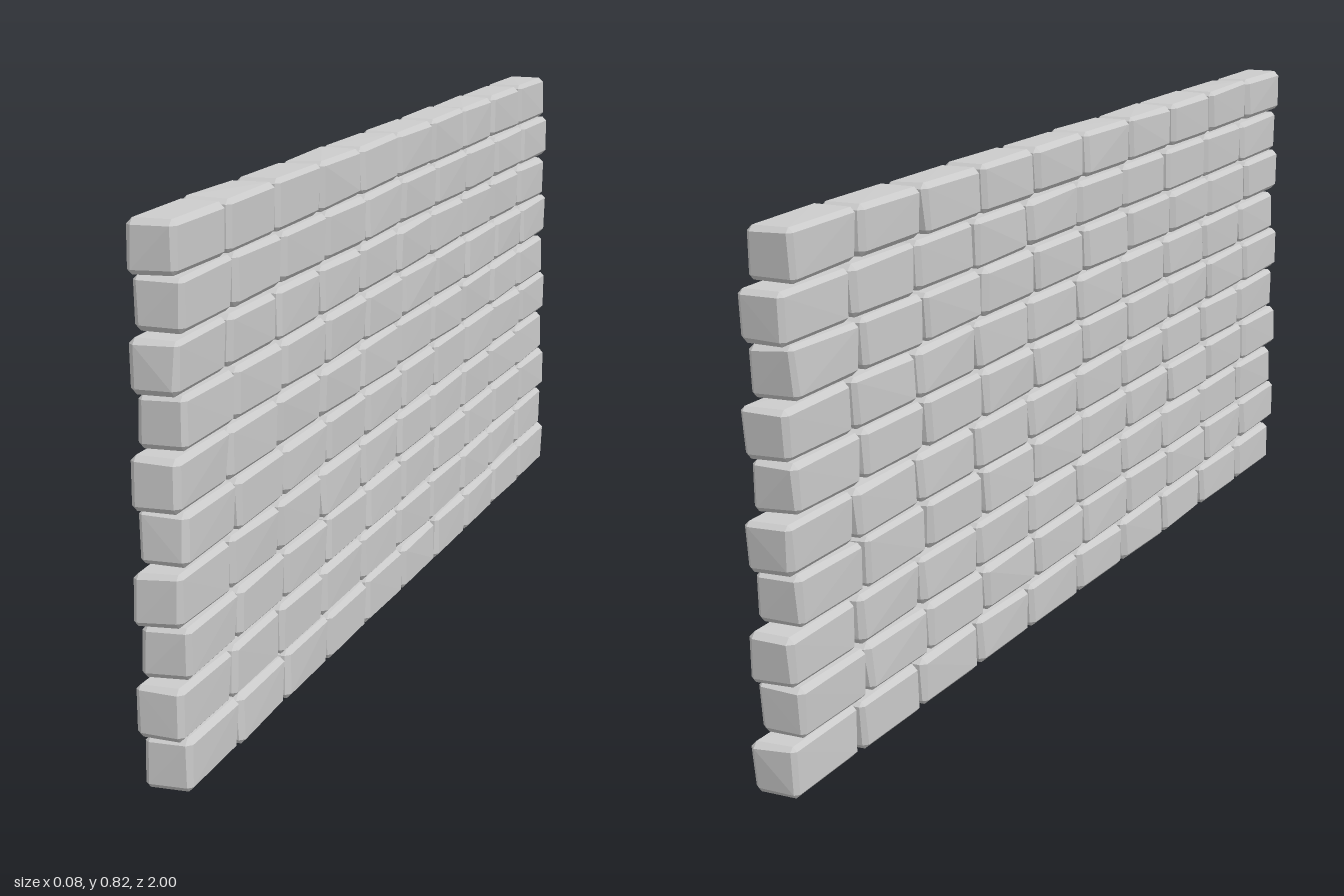
import * as THREE from 'three';
import { ConvexGeometry } from 'three/addons/geometries/ConvexGeometry.js';

const ROWS = 10, PER_ROW = 10;
const WIDTH = 0.077, HEIGHT = 0.081, LENGTH = 0.192;
const ROW_PITCH = 0.0823, BRICK_PITCH = 0.198, BEVEL = 0.008;

// Small seeded generator for the hand-cut irregularity
function seeded(seed) {
  return () => {
    seed = (seed * 16807) % 2147483647;
    return seed / 2147483647;
  };
}

// Chamfered block: each corner is nudged inwards, then cut into three points
function brickGeometry(random) {
  const points = [];
  for (const sx of [-1, 1]) for (const sy of [-1, 1]) for (const sz of [-1, 1]) {
    const undercut = sy < 0 && sz < 0 ? 0.007 : 0;
    const x = WIDTH / 2 - random() * 0.003;
    const y = HEIGHT / 2 - random() * 0.003;
    const z = LENGTH / 2 - random() * 0.005 - undercut;
    const b = BEVEL * (0.8 + random() * 0.4);
    points.push(
      new THREE.Vector3(sx * x, sy * (y - b), sz * (z - b)),
      new THREE.Vector3(sx * (x - b), sy * y, sz * (z - b)),
      new THREE.Vector3(sx * (x - b), sy * (y - b), sz * z)
    );
  }
  return new ConvexGeometry(points);
}

export function createModel() {
  const wall = new THREE.Group();
  wall.name = 'brickWall';
  const material = new THREE.MeshStandardMaterial({ color: 0xcccccc, flatShading: true });
  const random = seeded(4711);

  // Courses alternate by a small shift along the wall
  for (let r = 0; r < ROWS; r++) {
    const course = new THREE.Group();
    course.name = `course${r + 1}`;
    const start = r % 2 === 0 ? 0.974 : 1.0;
    for (let i = 0; i < PER_ROW; i++) {
      const brick = new THREE.Mesh(brickGeometry(random), material);
      brick.name = `brick${i + 1}`;
      brick.position.set(0, HEIGHT / 2 + r * ROW_PITCH, start - LENGTH / 2 - i * BRICK_PITCH);
      course.add(brick);
    }
    wall.add(course);
  }
  return wall;
}
